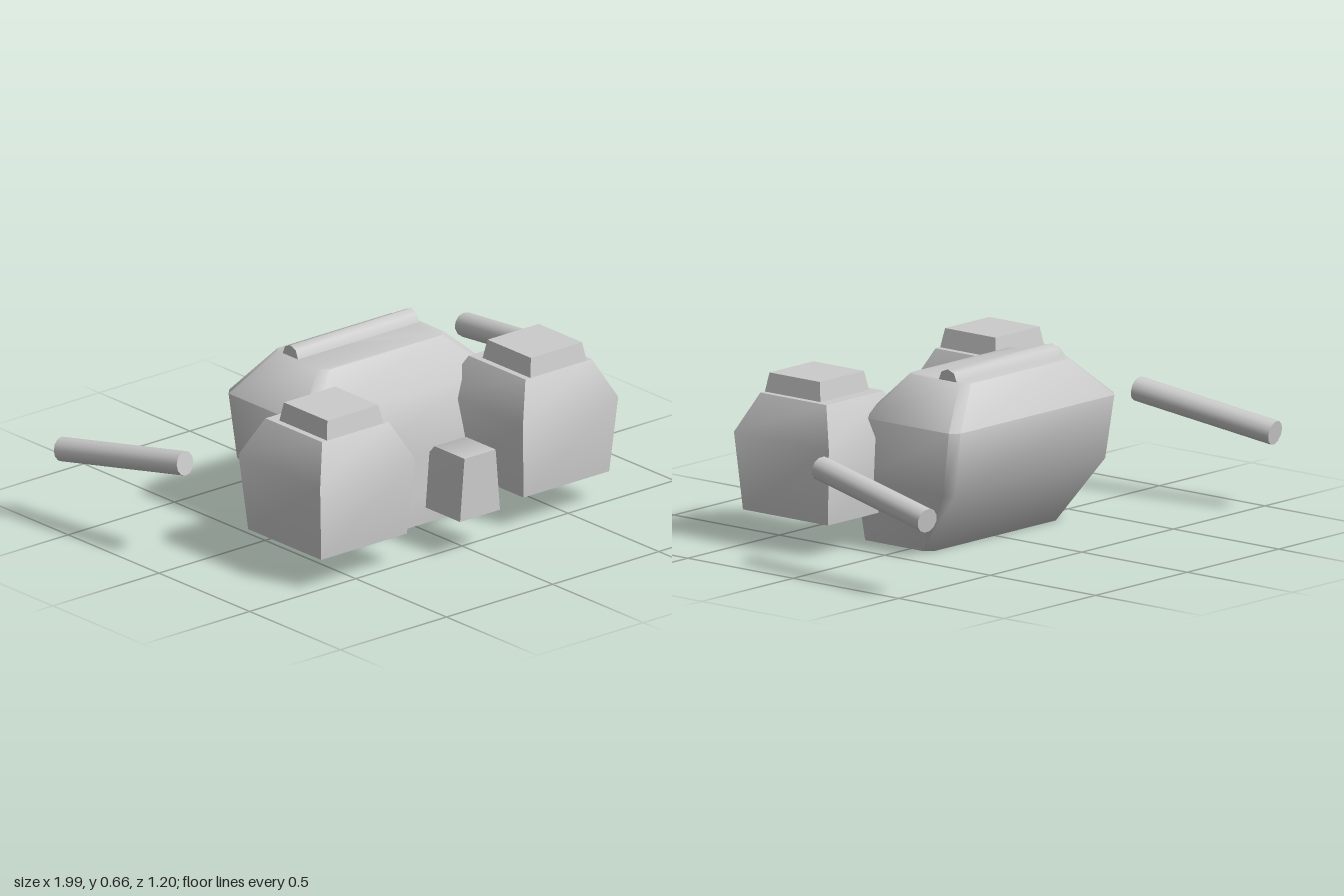
import * as THREE from 'three';
import { toCreasedNormals } from 'three/addons/utils/BufferGeometryUtils.js';

const material = new THREE.MeshStandardMaterial({ color: 0xcccccc });

// Closed solid through rectangular sections [y, x0, x1, z0, z1], corners cut by c
function loft(sections, c = 0) {
  const rings = sections.map(([y, x0, x1, z0, z1]) => {
    const pts = c
      ? [[x1 - c, z1], [x1, z1 - c], [x1, z0 + c], [x1 - c, z0],
        [x0 + c, z0], [x0, z0 + c], [x0, z1 - c], [x0 + c, z1]]
      : [[x1, z1], [x1, z0], [x0, z0], [x0, z1]];
    return pts.map(([x, z]) => [x, y, z]);
  });
  const n = rings[0].length;
  const pos = [];
  const tri = (...corners) => corners.forEach((p) => pos.push(...p));
  for (let k = 0; k < rings.length - 1; k++) {
    const a = rings[k], b = rings[k + 1];
    for (let i = 0; i < n; i++) {
      const j = (i + 1) % n;
      tri(a[i], a[j], b[j]);
      tri(a[i], b[j], b[i]);
    }
  }
  const bottom = rings[0], top = rings[rings.length - 1];
  for (let i = 1; i < n - 1; i++) {
    tri(top[0], top[i], top[i + 1]);
    tri(bottom[0], bottom[i + 1], bottom[i]);
  }
  const geometry = new THREE.BufferGeometry();
  geometry.setAttribute('position', new THREE.Float32BufferAttribute(pos, 3));
  return toCreasedNormals(geometry, 1.0);
}

export function createModel() {
  const model = new THREE.Group();
  model.name = 'model';
  const add = (name, geometry) => {
    const mesh = new THREE.Mesh(geometry, material);
    mesh.name = name;
    model.add(mesh);
    return mesh;
  };

  // Main body with a raked underside at the back
  add('body', loft([
    [0, -0.36, 0.36, -0.09, 0.243],
    [0.24, -0.44, 0.44, -0.255, 0.215],
    [0.475, -0.45, 0.45, -0.29, 0.167],
    [0.62, -0.295, 0.295, -0.205, 0.08],
  ], 0.03));

  // Rail along the top of the body
  const profile = new THREE.Shape([
    [-0.042, 0], [0.042, 0], [0.03, 0.03], [0, 0.042], [-0.03, 0.03],
  ].map(([x, y]) => new THREE.Vector2(x, y)));
  const rail = new THREE.ExtrudeGeometry(profile, { depth: 0.57, bevelEnabled: false });
  rail.translate(0, 0, -0.285).rotateY(Math.PI / 2).translate(0, 0.62, -0.112);
  add('topRail', toCreasedNormals(rail, 0.9));

  // Tapered block between the pods
  add('frontBlock', loft([
    [0.145, -0.094, 0.094, 0.41, 0.6],
    [0.355, -0.076, 0.076, 0.41, 0.6],
    [0.382, -0.073, 0.073, 0.435, 0.6],
  ]));

  for (const [side, s] of [['left', 1], ['right', -1]]) {
    // Sections mirrored about x = 0
    const mirrored = (sections) => sections.map(([y, x0, x1, z0, z1]) =>
      s > 0 ? [y, x0, x1, z0, z1] : [y, -x1, -x0, z0, z1]);

    // Pod and its cap
    add(side + 'Pod', loft(mirrored([
      [0.122, 0.275, 0.678, 0.115, 0.518],
      [0.408, 0.253, 0.702, 0.09, 0.54],
      [0.55, 0.322, 0.635, 0.16, 0.473],
    ])));
    add(side + 'PodCap', loft(mirrored([
      [0.545, 0.345, 0.612, 0.208, 0.473],
      [0.62, 0.359, 0.6, 0.221, 0.46],
    ])));

    // Detached rod slanting down and out to the rear
    const front = new THREE.Vector3(s * 0.864, 0.383, -0.015);
    const back = new THREE.Vector3(s * 0.95, 0.29, -0.592);
    const axis = front.clone().sub(back);
    const rod = add(side + 'Rod', new THREE.CylinderGeometry(0.045, 0.045, axis.length(), 12));
    rod.position.copy(front).add(back).multiplyScalar(0.5);
    rod.quaternion.setFromUnitVectors(new THREE.Vector3(0, 1, 0), axis.normalize());
  }

  return model;
}
